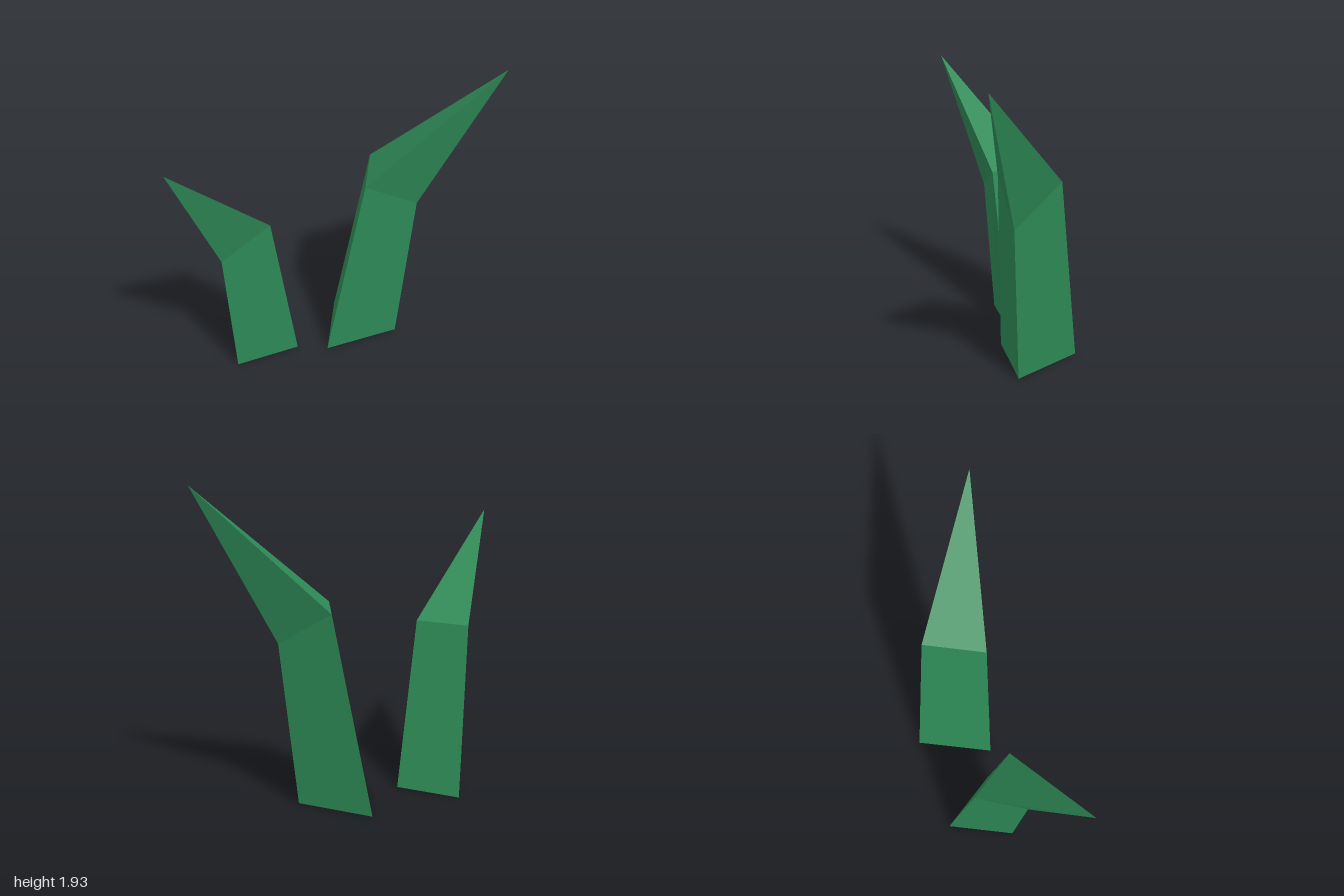
import * as THREE from 'three';

const material = new THREE.MeshStandardMaterial({ color: 0x2e8b57, flatShading: true });

// Bent three-sided blade: base triangle, bend triangle, pointed tip.
// Corners run front left, front right, back.
function makeBlade(name, base, bend, tip) {
  const positions = [];
  const tri = (a, b, c) => positions.push(...a, ...b, ...c);
  for (let i = 0; i < 3; i++) {
    const j = (i + 1) % 3;
    // stem side
    tri(base[i], base[j], bend[j]);
    tri(base[i], bend[j], bend[i]);
    // spike side
    tri(bend[i], bend[j], tip);
  }
  // underside
  tri(base[0], base[2], base[1]);

  const geometry = new THREE.BufferGeometry();
  geometry.setAttribute('position', new THREE.Float32BufferAttribute(positions, 3));
  geometry.computeVertexNormals();
  const mesh = new THREE.Mesh(geometry, material);
  mesh.name = name;
  return mesh;
}

export function createModel() {
  const group = new THREE.Group();
  group.name = 'grassBlades';

  // Tall blade leaning to the left
  group.add(makeBlade(
    'tallBlade',
    [[-0.07, 0, -0.01], [0.395, 0, -0.165], [0.02, 0, -0.49]],
    [[0.165, 1.21, -0.015], [0.505, 1.0, -0.145], [0.24, 1.215, -0.4]],
    [0.995, 1.935, -0.053],
  ));

  // Short blade leaning to the right and forward
  group.add(makeBlade(
    'shortBlade',
    [[-0.655, 0, 0.095], [-0.262, 0, -0.047], [-0.577, 0, -0.32]],
    [[-0.72, 0.857, 0.17], [-0.418, 1.04, 0.08], [-0.677, 1.04, -0.147]],
    [-1, 1.66, 0.49],
  ));

  return group;
}
